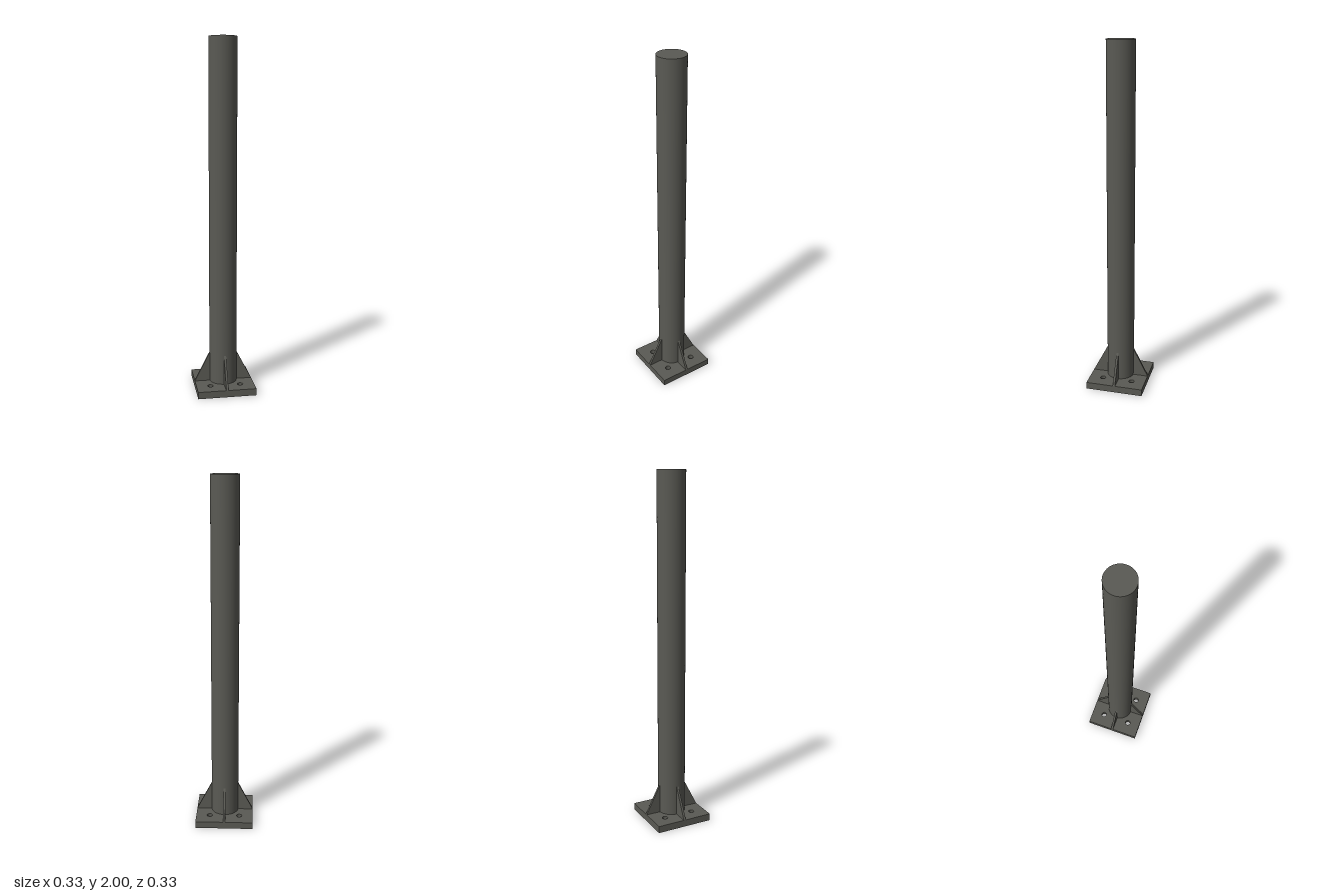
import * as THREE from 'three';

const HALF = 0.167;      // half width of the base plate
const THICK = 0.04;      // plate thickness
const RADIUS = 0.079;    // post radius
const HOLE = 0.087;      // bolt hole offset
const RIB = 0.013;       // gusset thickness

export function createModel() {
  const model = new THREE.Group();
  model.name = 'post';
  const steel = new THREE.MeshStandardMaterial({ color: 0x5a5a54 });
  steel.name = 'dark grey steel';

  const add = (name, geometry) => {
    const mesh = new THREE.Mesh(geometry, steel);
    mesh.name = name;
    model.add(mesh);
    return mesh;
  };

  // Square base plate with four bolt holes
  const outline = new THREE.Shape([
    new THREE.Vector2(-HALF, -HALF), new THREE.Vector2(HALF, -HALF),
    new THREE.Vector2(HALF, HALF), new THREE.Vector2(-HALF, HALF),
  ]);
  for (const sx of [-1, 1]) for (const sy of [-1, 1]) {
    outline.holes.push(new THREE.Path().absarc(sx * HOLE, sy * HOLE, 0.016, 0, Math.PI * 2, true));
  }
  const plate = new THREE.ExtrudeGeometry(outline, { depth: THICK, bevelEnabled: false, curveSegments: 24 });
  plate.rotateX(-Math.PI / 2);
  add('basePlate', plate);

  // Round capped post
  const post = new THREE.CylinderGeometry(RADIUS, RADIUS, 2 - THICK, 64);
  post.translate(0, (2 + THICK) / 2, 0);
  add('postTube', post);

  // Four triangular gussets, their inner edge sunk slightly into the post
  const inner = RADIUS - 0.002;
  const rib = new THREE.Shape([
    new THREE.Vector2(inner, THICK), new THREE.Vector2(HALF, THICK),
    new THREE.Vector2(inner, 0.215),
  ]);
  const gusset = new THREE.ExtrudeGeometry(rib, { depth: RIB, bevelEnabled: false });
  gusset.translate(0, 0, -RIB / 2);
  for (let i = 0; i < 4; i++) {
    add('gusset' + (i + 1), gusset).rotation.y = i * Math.PI / 2;
  }

  return model;
}
